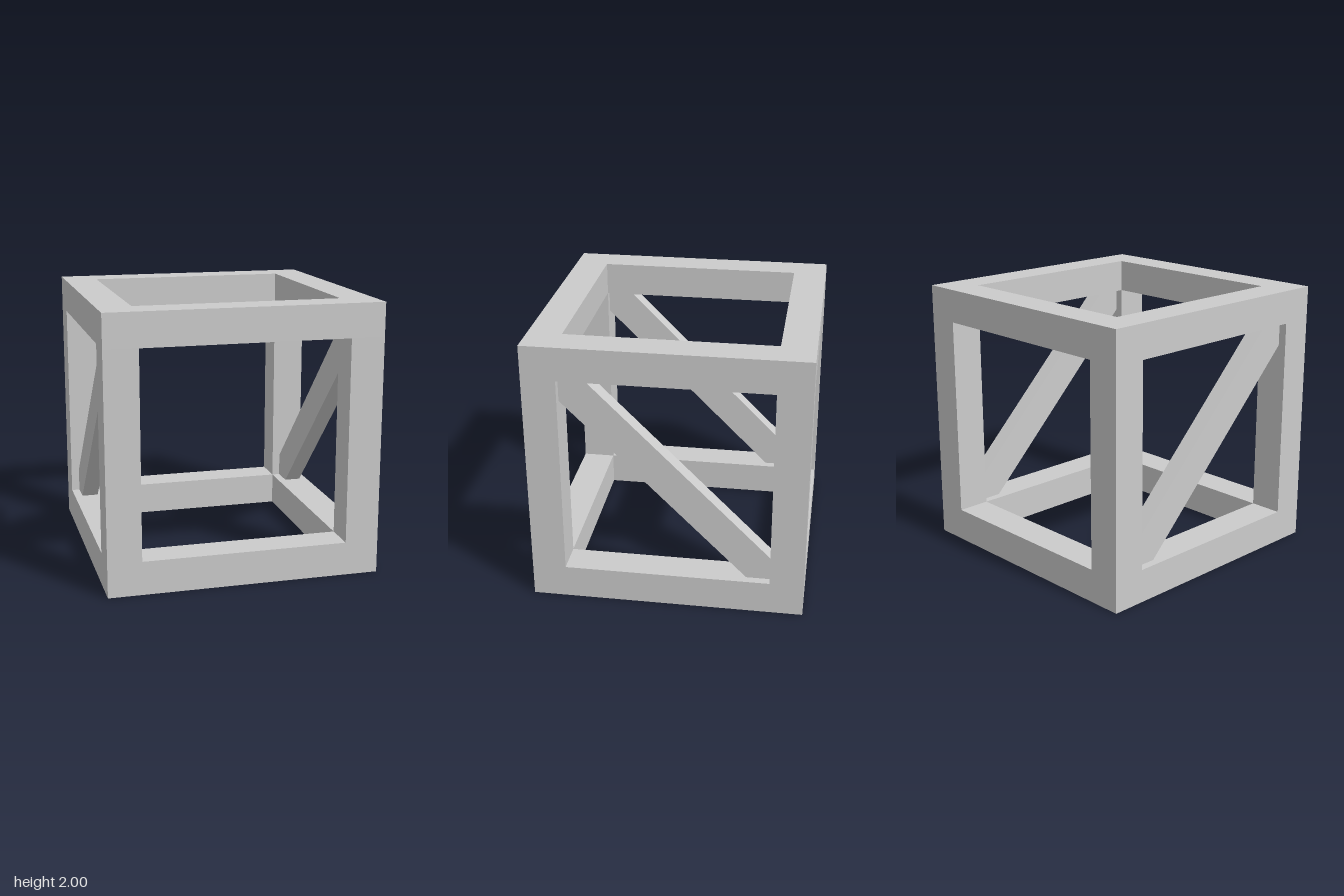
import * as THREE from 'three';

const BAR = 0.247;            // width of every frame bar
const IN = 1 - BAR;           // half-size of the openings
const CUT = IN - BAR / Math.SQRT2; // where the brace edges meet the frame
const BRACE = 0.125;          // brace thickness

const square = (h) => [[-h, -h], [h, -h], [h, h], [-h, h]].map(([x, y]) => new THREE.Vector2(x, y));

export function createModel() {
  const model = new THREE.Group();
  model.name = 'bracedCubeFrame';
  const material = new THREE.MeshStandardMaterial({ color: 0xcccccc, flatShading: true });

  const add = (name, geometry, x, y, z) => {
    const mesh = new THREE.Mesh(geometry, material);
    mesh.name = name;
    mesh.position.set(x, y, z);
    model.add(mesh);
  };

  // Square rings at the bottom and top
  const ring = new THREE.Shape(square(1));
  ring.holes.push(new THREE.Path(square(IN)));
  const ringGeometry = new THREE.ExtrudeGeometry(ring, { depth: BAR, bevelEnabled: false });
  ringGeometry.rotateX(-Math.PI / 2);
  add('bottomRing', ringGeometry, 0, 0, 0);
  add('topRing', ringGeometry, 0, 2 - BAR, 0);

  // Corner posts between the rings
  const postGeometry = new THREE.BoxGeometry(BAR, 2 * IN, BAR);
  const c = 1 - BAR / 2;
  for (const sx of [-1, 1]) {
    for (const sz of [-1, 1]) {
      add(`${sz > 0 ? 'front' : 'back'}${sx > 0 ? 'Left' : 'Right'}Post`, postGeometry, sx * c, 1, sz * c);
    }
  }

  // Diagonal braces in the two side openings, high at the front and low at the back.
  // The profile's first axis becomes -z after turning, its extrusion runs along x.
  const profile = [[-IN, IN], [-IN, CUT], [CUT, -IN], [IN, -IN], [IN, -CUT], [-CUT, IN]];
  const brace = new THREE.Shape(profile.map(([u, y]) => new THREE.Vector2(u, y)));
  const braceGeometry = new THREE.ExtrudeGeometry(brace, { depth: BRACE, bevelEnabled: false });
  braceGeometry.translate(0, 0, -BRACE / 2);
  braceGeometry.rotateY(Math.PI / 2);
  add('leftBrace', braceGeometry, c, 1, 0);
  add('rightBrace', braceGeometry, -c, 1, 0);

  return model;
}
